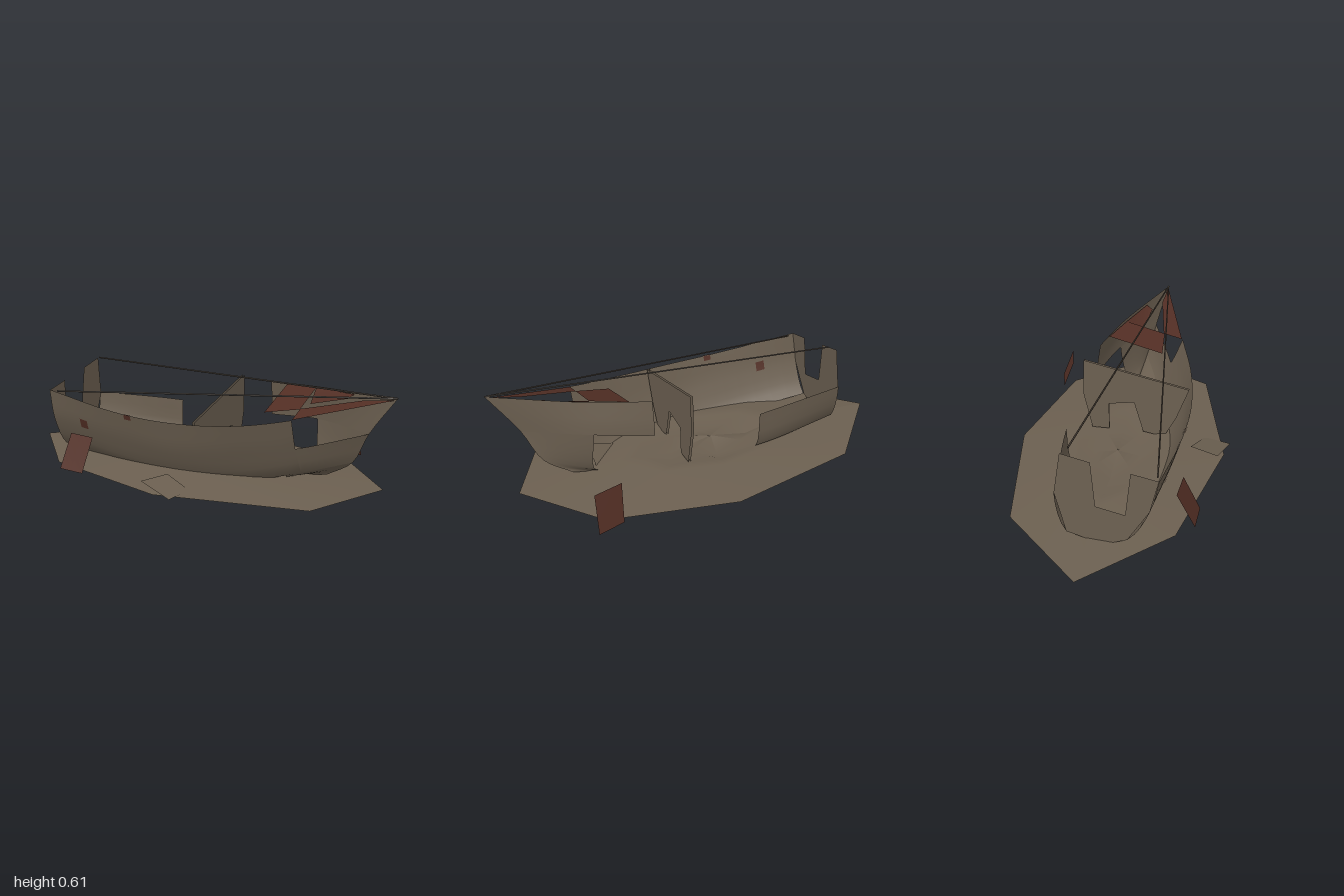
import * as THREE from 'three';

const V = (p) => new THREE.Vector3(...p);

export function createModel() {
  const model = new THREE.Group();
  const mat = (name, color) => {
    const m = new THREE.MeshStandardMaterial({ color, side: THREE.DoubleSide });
    m.name = name;
    return m;
  };
  const wood = mat('weathered wood', 0x6b5f50);
  const red = mat('faded red paint', 0x522e24);
  const rope = mat('dark rope', 0x4a4138);

  const add = (name, geo, material) => {
    const mesh = new THREE.Mesh(geo, material);
    mesh.name = name;
    model.add(mesh);
    return mesh;
  };

  // Surface through a grid of points given by f(u, v)
  function grid(f, nu, nv) {
    const pos = [], idx = [];
    for (let j = 0; j <= nv; j++)
      for (let i = 0; i <= nu; i++) pos.push(...f(i / nu, j / nv));
    for (let j = 0; j < nv; j++)
      for (let i = 0; i < nu; i++) {
        const a = j * (nu + 1) + i, b = a + nu + 1;
        idx.push(a, b, a + 1, b, b + 1, a + 1);
      }
    const g = new THREE.BufferGeometry();
    g.setAttribute('position', new THREE.Float32BufferAttribute(pos, 3));
    g.setIndex(idx);
    g.computeVertexNormals();
    return g;
  }

  // Flat outline placed in space by a rule
  function panel(name, outline, place, material) {
    const g = new THREE.ShapeGeometry(new THREE.Shape(outline.map((p) => new THREE.Vector2(...p))));
    const p = g.attributes.position;
    for (let i = 0; i < p.count; i++) p.setXYZ(i, ...place(p.getX(i), p.getY(i)));
    g.computeVertexNormals();
    return add(name, g, material);
  }

  // Four-cornered loose board
  const board = (name, [a, b, c, d], material) =>
    add(name, grid((u, v) => V(a).lerp(V(b), u).lerp(V(d).lerp(V(c), u), v).toArray(), 2, 2), material);

  // Hull sides: lengthwise lines from stern to stem, gunwale down to keel
  const keel = [[-.745, .13, -.02], [-.3, .11, -.04], [0, .1, -.05], [.3, .11, -.05], [.5, .14, -.04], [.66, .17, -.03]];
  const nearSide = [
    [[-.73, .49, .27], [-.3, .44, .325], [0, .43, .335], [.3, .445, .3], [.57, .49, .225], [1, .61, .09]],
    [[-.735, .33, .235], [-.3, .28, .275], [0, .26, .28], [.3, .29, .24], [.57, .34, .165], [.87, .42, .04]],
    [[-.74, .17, .14], [-.3, .125, .18], [0, .1, .17], [.3, .13, .14], [.57, .2, .085], [.79, .26, 0]],
    keel,
  ];
  const farSide = [
    [[-.72, .58, -.15], [-.3, .55, -.24], [0, .54, -.25], [.3, .555, -.18], [.57, .575, -.1], [1, .61, .09]],
    [[-.735, .38, -.18], [-.3, .38, -.235], [0, .37, -.25], [.3, .38, -.2], [.57, .41, -.12], [.87, .42, .04]],
    [[-.74, .18, -.13], [-.3, .18, -.21], [0, .17, -.2], [.3, .17, -.16], [.57, .2, -.08], [.79, .26, 0]],
    keel,
  ];
  // u runs from stern to bow, v counts rows down from the gunwale
  function hullPiece(name, side, u0, u1, v0, v1, material = wood, offset = 0) {
    const rows = side.map((r) => new THREE.CatmullRomCurve3(r.map(V)));
    const f = (u, v) => {
      const s = u0 + (u1 - u0) * u, t = (v0 + (v1 - v0) * v) / 3;
      const p = new THREE.CatmullRomCurve3(rows.map((r) => r.getPoint(s))).getPoint(t);
      return [p.x, p.y, p.z + offset];
    };
    add(name, grid(f, 20, Math.ceil(4 * (v1 - v0))), material);
  }
  hullPiece('nearHull', nearSide, 0, .8, 0, 2);
  hullPiece('nearBowLower', nearSide, .8, 1, 1, 2);
  hullPiece('nearForefoot', nearSide, .75, 1, 2, 3);
  hullPiece('farBowUpper', farSide, .6, 1, 0, 1);
  hullPiece('farBowLower', farSide, .8, 1, 1, 3);
  hullPiece('farSternPlanks', farSide, 0, .24, 1, 2);

  // Red paint left on the planking, inside and out
  for (const offset of [.004, -.004]) {
    hullPiece('sternPaintPatch', nearSide, .085, .106, .65, .95, red, offset);
    hullPiece('gunwalePaintPatch', nearSide, .235, .26, 0, .15, red, offset);
  }

  // Broken transom and bulkhead, drawn as (z, y)
  panel('transom', [[.27, .49], [.235, .33], [.14, .17], [.03, .13], [0, .03], [-.03, .15], [-.13, .18],
    [-.18, .38], [-.15, .58], [-.02, .55], [0, .33], [.13, .3], [.15, .515]],
    (z, y) => [-.75 + .05 * y, y, z], wood);
  const bulkhead = [[.31, .44], [-.23, .56], [-.235, .37], [-.19, .17], [-.1, .17], [-.1, .32], [.03, .34],
    [.08, .17], [.19, .15], [.25, .27]];
  for (const x of [.11, .122]) panel('bulkhead', bulkhead, (z, y) => [x + .015 * y, y, z], wood);

  // Broken foredeck, drawn as (x, z) on the tilted deck plane
  const deck = (x, z) => [x, .56 - .27 * (z + .15) + .18 * (x - .4), z];
  panel('foredeck', [[.4, -.15], [.57, -.085], [.57, .125], [.4, .135]], deck, red);
  panel('foredeckEdge', [[.57, .22], [.57, .12], [.84, .075], [.99, .09]], deck, red);
  board('foredeckPlank', [[.57, .573, -.085], [.78, .582, -.005], [.76, .567, .03], [.57, .51, -.01]], red);

  // Ropes from the bow to both stern corners
  const bow = V([1, .61, .09]);
  for (const [name, end] of [['nearRope', [-.69, .485, .26]], ['farRope', [-.69, .59, -.12]]])
    add(name, new THREE.TubeGeometry(new THREE.LineCurve3(V(end), bow), 1, .004, 6), rope);

  // Loose boards around the wreck
  board('leaningBoard', [[-.57, .138, .42], [-.43, .138, .43], [-.42, .3, .345], [-.56, .3, .33]], red);
  board('farLeaningBoard', [[.56, .138, -.45], [.69, .138, -.485], [.68, .305, -.42], [.54, .305, -.385]], red);
  board('fallenBoard', [[0, .18, .34], [-.06, .18, .48], [.12, .14, .535], [.15, .145, .4]], wood);
  board('sunkenBoard', [[.27, 0, -.07], [.54, .1, -.14], [.54, .22, .1], [.27, .12, .16]], wood);

  // Ground: eight-sided rim rising to a bank, then a folded hollow with a small mound
  const rim = [[-1, -.04], [-.64, .34], [.02, .51], [.72, .36], [.93, -.04], [.63, -.4], [.02, -.54], [-.64, -.42]];
  const rings = [[1, .137], [.5, .17], [.4, .165], [.22, .13], [0, .17]];
  add('ground', grid((u, v) => {
    const k = Math.round(u * 8) % 8, ring = Math.round(v * 4);
    const [x, z] = rim[k], [s, y] = rings[ring];
    const fold = ring === 3 && k % 2 ? .03 : 0;
    return [x * s - .08 * (1 - s), y + fold, z * s - .02 * (1 - s)];
  }, 8, 4), wood);

  return model;
}
